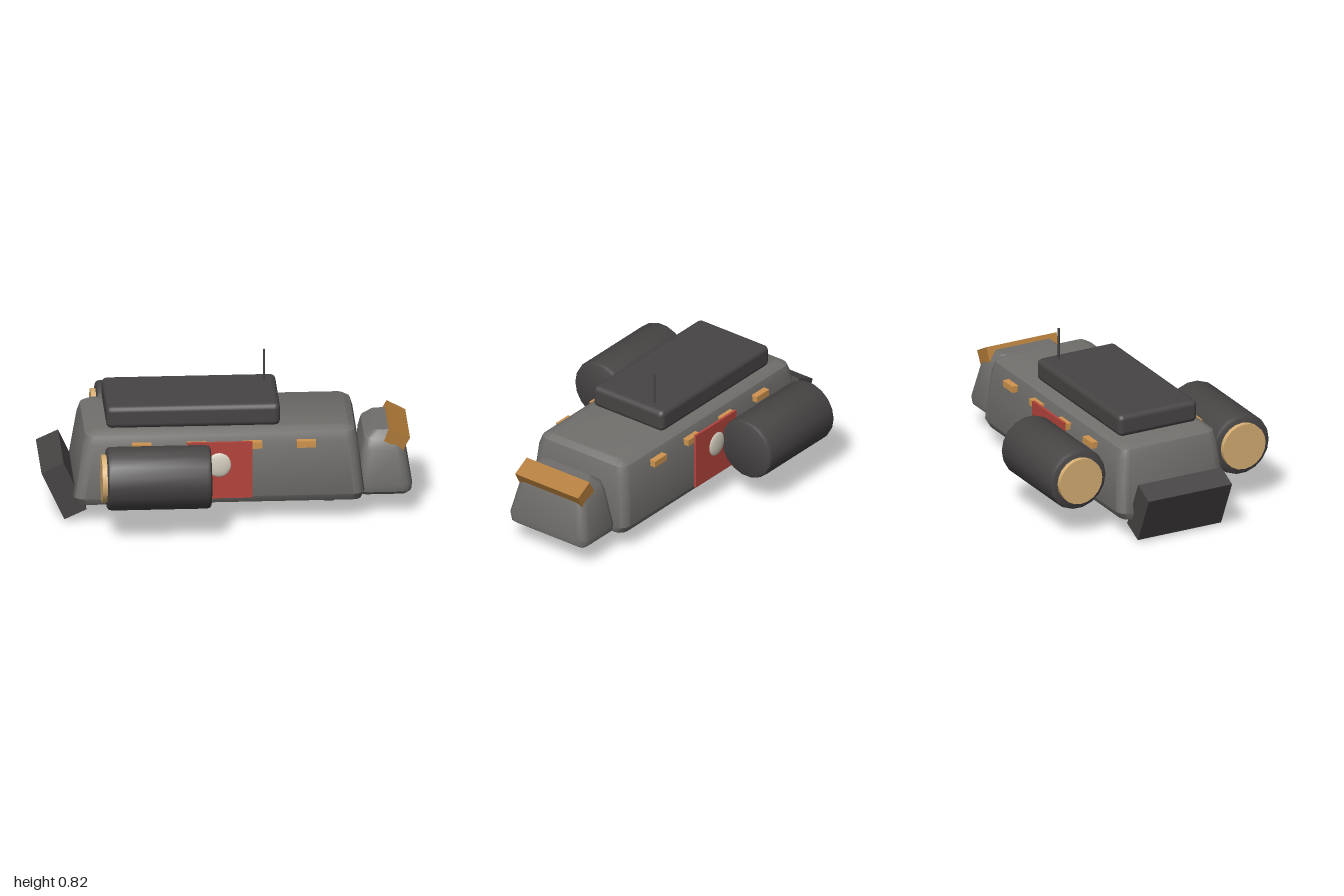
import * as THREE from 'three';
import { toCreasedNormals } from 'three/addons/utils/BufferGeometryUtils.js';
import { RoundedBoxGeometry } from 'three/addons/geometries/RoundedBoxGeometry.js';

const paint = (name, hex) => {
  const m = new THREE.MeshStandardMaterial({ color: hex });
  m.name = name;
  return m;
};

// Loft of rounded rectangles; each ring is [y, xBack, xFront, halfZ, cornerRadius]
function loft(rings, crease) {
  const seg = 3;
  const loops = rings.map(([y, x0, x1, hz, r]) => {
    const pts = [];
    const corners = [[x1 - r, hz - r], [x0 + r, hz - r], [x0 + r, r - hz], [x1 - r, r - hz]];
    corners.forEach(([cx, cz], k) => {
      for (let i = 0; i <= seg; i++) {
        const a = (k + i / seg) * Math.PI / 2;
        pts.push(new THREE.Vector3(cx + r * Math.cos(a), y, cz + r * Math.sin(a)));
      }
    });
    return pts;
  });
  const out = [];
  const tri = (...p) => p.forEach((v) => out.push(v.x, v.y, v.z));
  const n = loops[0].length;
  for (let k = 0; k < loops.length - 1; k++) {
    for (let i = 0; i < n; i++) {
      const j = (i + 1) % n, lo = loops[k], up = loops[k + 1];
      tri(lo[i], up[i], lo[j]);
      tri(lo[j], up[i], up[j]);
    }
  }
  const first = loops[0], last = loops[loops.length - 1];
  for (let i = 1; i < n - 1; i++) {
    tri(first[0], first[i], first[i + 1]);
    tri(last[0], last[i + 1], last[i]);
  }
  const g = new THREE.BufferGeometry();
  g.setAttribute('position', new THREE.Float32BufferAttribute(out, 3));
  return toCreasedNormals(g, crease);
}

export function createModel() {
  const model = new THREE.Group();
  model.name = 'dropship';

  const grey = paint('hull grey', 0x706f6c);
  const dark = paint('dark grey', 0x474444);
  const red = paint('panel red', 0xb5453d);
  const cream = paint('emblem cream', 0xd6d0c0);
  const amber = paint('visor amber', 0xb07a38);
  const lamp = paint('window orange', 0xd0954f);
  const glow = paint('exhaust tan', 0xd9b074);

  const add = (name, geometry, material, x = 0, y = 0, z = 0) => {
    const m = new THREE.Mesh(geometry, material);
    m.name = name;
    m.position.set(x, y, z);
    model.add(m);
    return m;
  };

  // Tapered hull and cockpit
  add('hull', loft([
    [0.10, -0.775, 0.69, 0.265, 0.03],
    [0.115, -0.815, 0.72, 0.305, 0.05],
    [0.155, -0.83, 0.735, 0.328, 0.06],
    [0.45, -0.782, 0.70, 0.305, 0.06],
    [0.50, -0.765, 0.685, 0.288, 0.05],
    [0.525, -0.72, 0.65, 0.25, 0.03],
  ], 0.6), grey);
  add('cockpit', loft([
    [0.115, 0.72, 0.965, 0.235, 0.03],
    [0.135, 0.71, 0.99, 0.258, 0.045],
    [0.175, 0.71, 0.995, 0.265, 0.05],
    [0.36, 0.725, 0.962, 0.225, 0.05],
    [0.42, 0.74, 0.945, 0.205, 0.045],
    [0.46, 0.79, 0.90, 0.165, 0.03],
  ], 0.6), grey);

  // Slanted visor over the cockpit
  add('visor', new THREE.BoxGeometry(0.115, 0.08, 0.43), amber, 0.914, 0.419).rotation.z = -0.5;

  // Roof pack and antenna
  add('roofPack', new RoundedBoxGeometry(0.935, 0.125, 0.48, 2, 0.03), dark, -0.182, 0.583);
  add('antenna', new THREE.CylinderGeometry(0.006, 0.006, 0.2, 8), dark, 0.22, 0.72, -0.135);

  // Tilted loading ramp at the tail
  add('ramp', new THREE.BoxGeometry(0.131, 0.294, 0.51), dark, -0.879, 0.177).rotation.z = 0.431;

  // Chin turret
  add('turret', new THREE.SphereGeometry(1, 16, 10), dark, 0.557, 0.064).scale.set(0.093, 0.062, 0.093);
  add('turretBarrel', new THREE.CylinderGeometry(0.013, 0.013, 0.3, 8), dark, 0.715, 0.057).rotation.z = Math.PI / 2;

  // Engine profile: radius and distance along the axis
  const podProfile = [[0, -0.28], [0.155, -0.28], [0.168, -0.272], [0.173, -0.255],
    [0.173, 0.255], [0.168, 0.272], [0.155, 0.28], [0, 0.28]].map(([r, h]) => new THREE.Vector2(r, h));
  const podGeometry = toCreasedNormals(new THREE.LatheGeometry(podProfile, 18), 0.6);

  for (const s of [1, -1]) {
    const side = s > 0 ? 'right' : 'left';
    // Engine pod with glowing exhaust
    add(side + 'Engine', podGeometry, dark, -0.385, 0.338, s * 0.5).rotation.z = -Math.PI / 2;
    add(side + 'Exhaust', new THREE.CylinderGeometry(0.13, 0.13, 0.06, 20), glow, -0.662, 0.338, s * 0.5).rotation.z = Math.PI / 2;

    // Side panel with round emblem
    add(side + 'Panel', new THREE.BoxGeometry(0.35, 0.32, 0.014), red, -0.046, 0.314, s * 0.341);
    add(side + 'Emblem', new THREE.SphereGeometry(1, 20, 10), cream, -0.05, 0.345, s * 0.345).scale.set(0.066, 0.07, 0.016);

    // Row of window slits
    for (const x of [-0.465, -0.17, 0.13, 0.42]) {
      add(side + 'Window', new THREE.BoxGeometry(0.104, 0.036, 0.036), lamp, x, 0.448, s * 0.32);
    }
  }
  return model;
}
